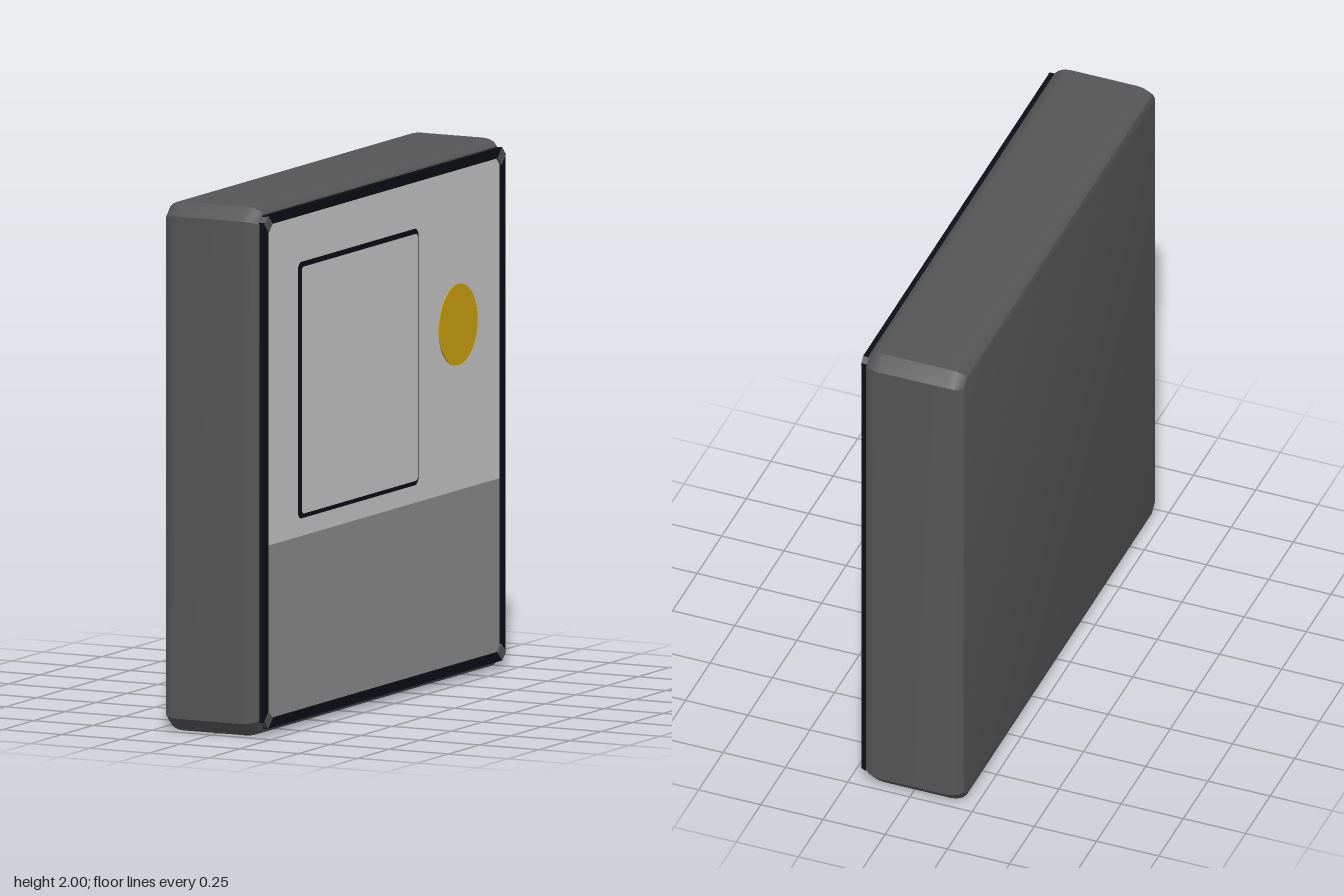
import * as THREE from 'three';
import { toCreasedNormals } from 'three/addons/utils/BufferGeometryUtils.js';

const mat = (color) => new THREE.MeshStandardMaterial({ color });

export function createModel() {
  const model = new THREE.Group();
  // Built facing +z around the origin, then turned so the panel faces +x
  const unit = new THREE.Group();
  unit.name = 'wallUnit';
  unit.rotation.y = Math.PI / 2;
  unit.position.y = 1;
  model.add(unit);

  const casing = mat(0x555555);
  const trim = mat(0x0d0d16);
  const light = mat(0xcccccc);
  const dark = mat(0x8e8e8e);
  const yellow = mat(0xcfa211);

  const add = (name, geometry, material, x = 0, y = 0, z = 0) => {
    const mesh = new THREE.Mesh(geometry, material);
    mesh.name = name;
    mesh.position.set(x, y, z);
    unit.add(mesh);
    return mesh;
  };

  // Casing: square with clipped corners and softly rounded rims
  const h = 0.96, c = h - 0.027;
  const outline = new THREE.Shape([
    [-c, -h], [c, -h], [h, -c], [h, c], [c, h], [-c, h], [-h, c], [-h, -c],
  ].map(([x, y]) => new THREE.Vector2(x, y)));
  const body = new THREE.ExtrudeGeometry(outline, {
    depth: 0.27, bevelThickness: 0.065, bevelSize: 0.04, bevelSegments: 4,
  });
  add('casing', toCreasedNormals(body, 0.5), casing, 0, 0, -0.145);

  // Upper and lower face panels
  add('upperPanel', new THREE.BoxGeometry(1.88, 1.22, 0.03), light, 0, 0.33, 0.185);
  add('lowerPanel', new THREE.BoxGeometry(1.88, 0.66, 0.03), dark, 0, -0.61, 0.185);

  // Border bars with a small diagonal clip at each corner
  for (let i = 0; i < 4; i++) {
    const a = i * Math.PI / 2, d = a + Math.PI / 4;
    const bar = add('borderBar', new THREE.BoxGeometry(0.036, 1.89, 0.03), trim,
      0.952 * Math.cos(a), 0.952 * Math.sin(a), 0.192);
    bar.rotation.z = a;
    const clip = add('cornerClip', new THREE.BoxGeometry(0.049, 0.042, 0.03), casing,
      1.326 * Math.cos(d), 1.326 * Math.sin(d), 0.194);
    clip.rotation.z = d;
  }

  // Rounded window: dark backing with a light pane floating just above it
  const roundedSquare = (s, r) => {
    const k = s / 2 - r;
    const shape = new THREE.Shape();
    for (let i = 0; i < 4; i++) {
      const a = i * Math.PI / 2, m = a + Math.PI / 4;
      shape.absarc(Math.sign(Math.cos(m)) * k, Math.sign(Math.sin(m)) * k, r, a, a + Math.PI / 2);
    }
    return new THREE.ShapeGeometry(shape, 6);
  };
  add('windowFrame', roundedSquare(0.97, 0.03), trim, -0.205, 0.272, 0.202);
  add('windowPane', roundedSquare(0.934, 0.018), light, -0.205, 0.272, 0.209);

  // Round button
  const button = add('button', new THREE.CylinderGeometry(0.154, 0.154, 0.01, 48), yellow, 0.595, 0.348, 0.2);
  button.rotation.x = Math.PI / 2;

  return model;
}
